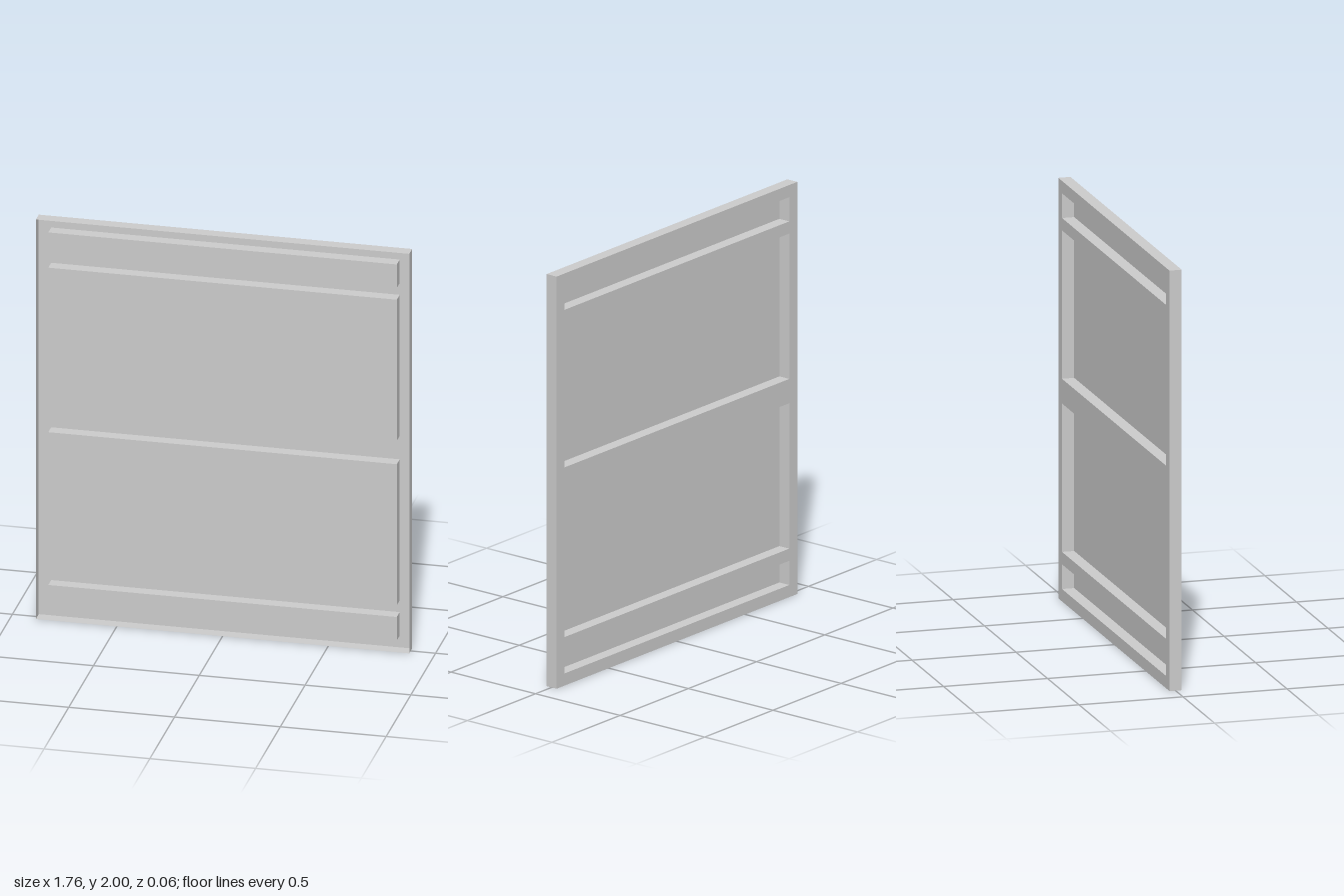
import * as THREE from 'three';
import { mergeGeometries } from 'three/addons/utils/BufferGeometryUtils.js';

const U = 1 / 17;          // sheet module: margin, gap and depth are all one unit
const HALF_W = 15 * U;     // half width of the whole sheet
const PANEL_W = 14 * U;    // half width of the pressed panels
const HEIGHT = 34 * U;
const DEPTH = U;

const material = new THREE.MeshStandardMaterial({ color: 0xcccccc, side: THREE.DoubleSide });

function mesh(name, geometry) {
  const m = new THREE.Mesh(geometry, material);
  m.name = name;
  return m;
}

// Four thin walls around a rectangle, facing outwards
function walls(halfW, y0, y1) {
  const h = y1 - y0, mid = (y0 + y1) / 2;
  return [
    new THREE.PlaneGeometry(DEPTH, h).rotateY(Math.PI / 2).translate(halfW, mid, 0),
    new THREE.PlaneGeometry(DEPTH, h).rotateY(-Math.PI / 2).translate(-halfW, mid, 0),
    new THREE.PlaneGeometry(2 * halfW, DEPTH).rotateX(-Math.PI / 2).translate(0, y1, 0),
    new THREE.PlaneGeometry(2 * halfW, DEPTH).rotateX(Math.PI / 2).translate(0, y0, 0),
  ];
}

function rectangle(path, halfW, y0, y1) {
  path.moveTo(-halfW, y0);
  path.lineTo(halfW, y0);
  path.lineTo(halfW, y1);
  path.lineTo(-halfW, y1);
  path.closePath();
  return path;
}

export function createModel() {
  const group = new THREE.Group();
  group.name = 'pressedPanel';

  // Bottom and top of each raised panel
  const panels = [
    ['bottomRail', 1, 3],
    ['lowerPanel', 4, 16],
    ['upperPanel', 18, 30],
    ['topRail', 31, 33],
  ].map(([name, a, b]) => ({ name, y0: a * U, y1: b * U }));

  // Back sheet, cut open behind every raised panel
  const sheet = rectangle(new THREE.Shape(), HALF_W, 0, HEIGHT);
  for (const { y0, y1 } of panels) sheet.holes.push(rectangle(new THREE.Path(), PANEL_W, y0, y1));
  const back = new THREE.ShapeGeometry(sheet).rotateY(Math.PI).translate(0, 0, -DEPTH / 2);
  group.add(mesh('backSheet', back));

  // Flange folded forward around the edge
  group.add(mesh('edgeFlange', mergeGeometries(walls(HALF_W, 0, HEIGHT))));

  // Raised panels: front face plus side walls, hollow from behind
  for (const { name, y0, y1 } of panels) {
    const face = new THREE.PlaneGeometry(2 * PANEL_W, y1 - y0).translate(0, (y0 + y1) / 2, DEPTH / 2);
    group.add(mesh(name, mergeGeometries([face, ...walls(PANEL_W, y0, y1)])));
  }

  return group;
}
